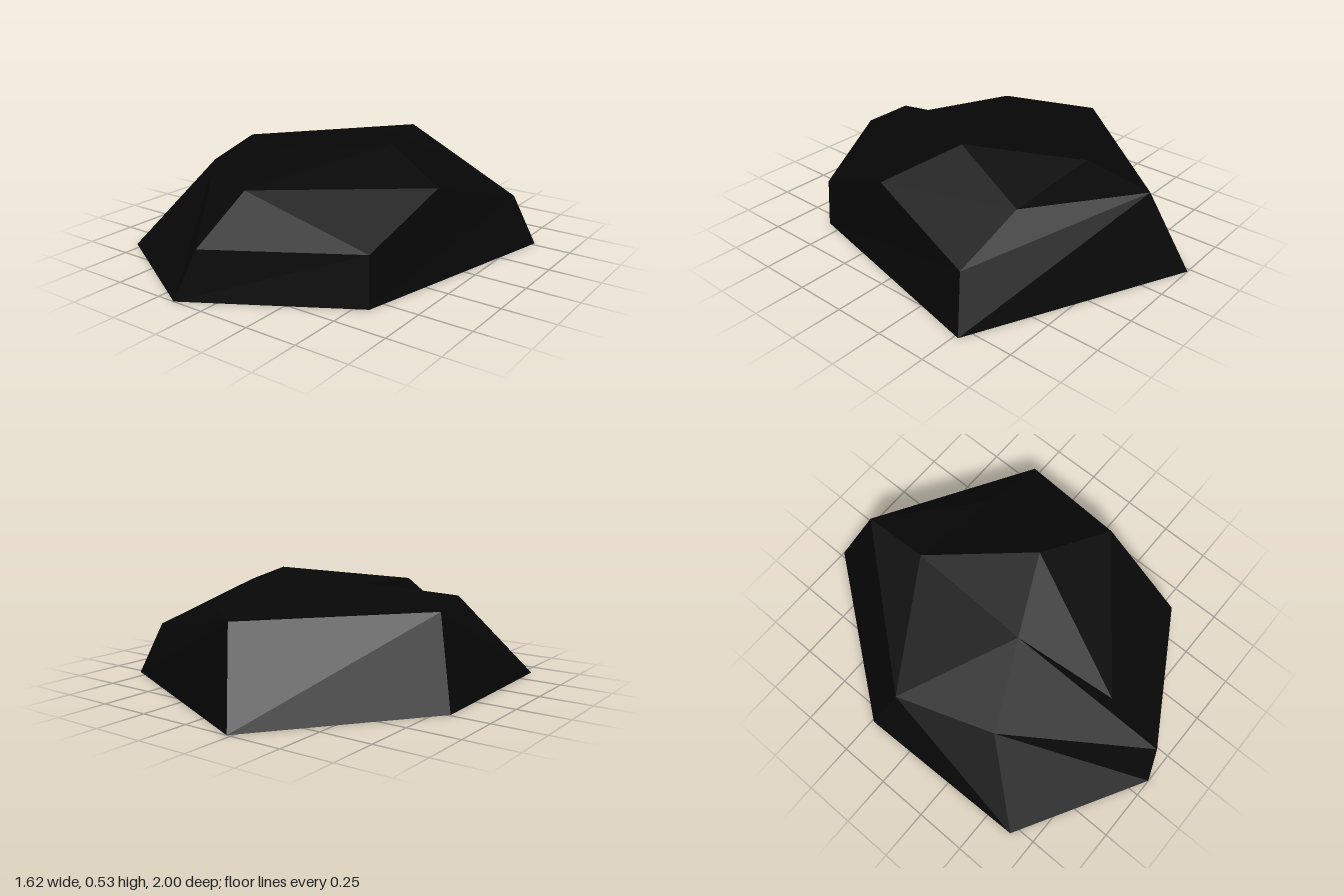
import * as THREE from 'three';

// Corner points of the rock: foot ring, shoulder ring, crown
const P = {
  // foot ring
  a: [-0.23, 0, -1.0], b: [0.81, 0, -0.52], c: [0.56, 0, 0.58],
  d: [-0.16, 0, 1.0], e: [-0.79, 0, 0.64], f: [-0.81, 0, -0.24],
  // shoulder ring
  A: [-0.10, 0.415, -0.84], B: [0.715, 0.25, -0.45], C: [0.55, 0.24, 0.57],
  D: [-0.07, 0.24, 0.94], E: [-0.53, 0.41, 0.33], F: [-0.69, 0.415, -0.13],
  // crown
  G: [-0.06, 0.42, 0.64], H: [0.61, 0.42, 0.12], I: [0.255, 0.53, -0.05],
  J: [0.36, 0.39, -0.46], K: [-0.10, 0.46, -0.50], L: [-0.12, 0.46, 0.13],
};

// Turns polygons, each a string of corner names, into a faceted geometry
function facets(polygons) {
  const pos = [];
  for (const poly of polygons) {
    for (let i = 1; i < poly.length - 1; i++) {
      pos.push(...P[poly[0]], ...P[poly[i]], ...P[poly[i + 1]]);
    }
  }
  const g = new THREE.BufferGeometry();
  g.setAttribute('position', new THREE.Float32BufferAttribute(pos, 3));
  g.computeVertexNormals();
  return g;
}

export function createModel() {
  const group = new THREE.Group();
  group.name = 'rock';
  const stone = new THREE.MeshStandardMaterial({ color: 0x070707, side: THREE.DoubleSide });
  stone.name = 'black stone';

  // Steep flanks; the underside is left open
  const flanks = new THREE.Mesh(facets(['baAB', 'cbBHC', 'dcCD', 'dDEe', 'eEFf', 'afFA']), stone);
  flanks.name = 'flanks';

  // Shallow facets on top, with a ridge running back from G to L
  const crown = new THREE.Mesh(facets([
    'CHGD', 'DGL', 'DLE', 'HIG', 'HJI', 'HBJ', 'AKJB', 'JKI', 'GIL', 'IKL', 'KFL', 'FEL', 'AFK',
  ]), stone);
  crown.name = 'crown';

  group.add(flanks, crown);
  return group;
}
